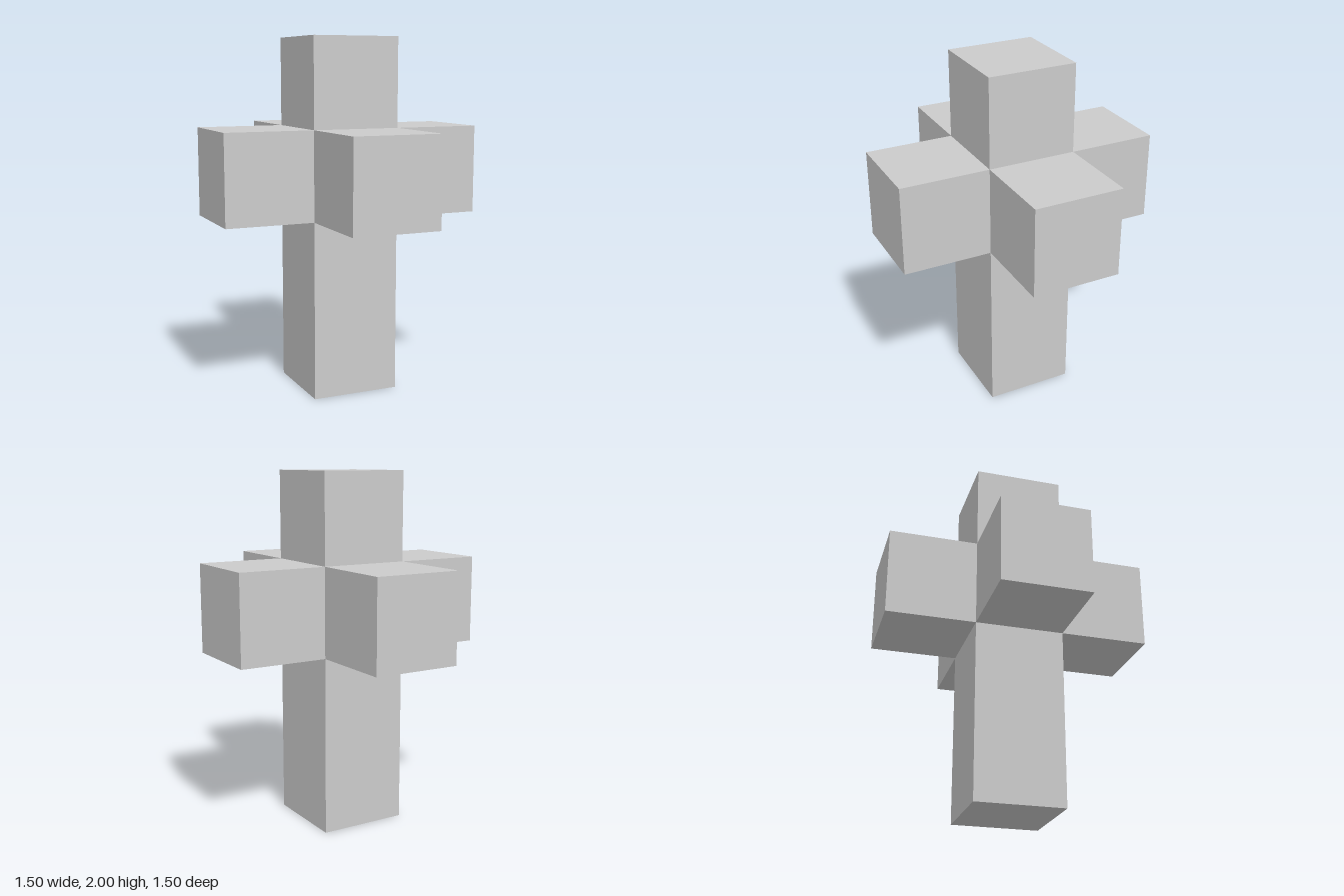
import * as THREE from 'three';
import { mergeGeometries } from 'three/addons/utils/BufferGeometryUtils.js';

const S = 0.5; // cube edge

// Cubes of each part, as grid cells: x, y (level from the ground), z
const PARTS = {
  column: [[0, 0, 0], [0, 1, 0], [0, 2, 0], [0, 3, 0]],
  leftArm: [[1, 2, 0]],
  rightArm: [[-1, 2, 0]],
  frontArm: [[0, 2, 1]],
  backArm: [[0, 2, -1]],
};

const DIRECTIONS = [[1, 0, 0], [-1, 0, 0], [0, 1, 0], [0, -1, 0], [0, 0, 1], [0, 0, -1]];

// One square face of a cell, facing outward along a direction
function cellFace(cell, direction) {
  const normal = new THREE.Vector3(...direction);
  const turn = new THREE.Quaternion().setFromUnitVectors(new THREE.Vector3(0, 0, 1), normal);
  const centre = new THREE.Vector3(cell[0], cell[1] + 0.5, cell[2]).multiplyScalar(S);
  centre.addScaledVector(normal, S / 2);
  return new THREE.PlaneGeometry(S, S).applyQuaternion(turn).translate(centre.x, centre.y, centre.z);
}

export function createModel() {
  const group = new THREE.Group();
  group.name = 'cubeCross';
  const material = new THREE.MeshStandardMaterial({ color: 0xcccccc, flatShading: true });
  const filled = new Set(Object.values(PARTS).flat().map(String));

  // Only faces with no neighbouring cube are built, so the shell is closed and hollow
  for (const [name, cells] of Object.entries(PARTS)) {
    const faces = [];
    for (const cell of cells) {
      for (const direction of DIRECTIONS) {
        const neighbour = cell.map((v, i) => v + direction[i]);
        if (!filled.has(String(neighbour))) faces.push(cellFace(cell, direction));
      }
    }
    const mesh = new THREE.Mesh(mergeGeometries(faces), material);
    mesh.name = name;
    group.add(mesh);
  }
  return group;
}
